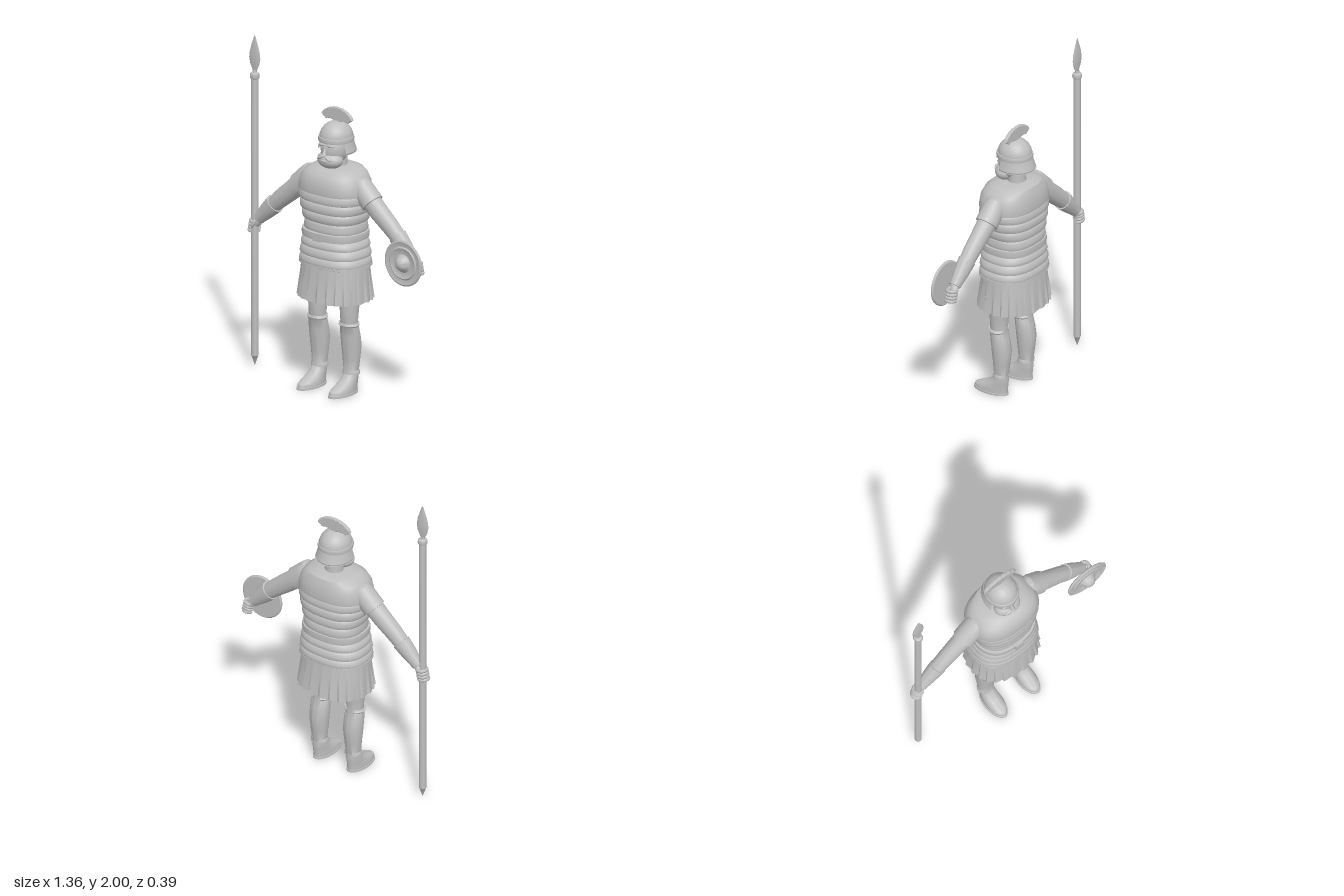
import * as THREE from 'three';
import { toCreasedNormals } from 'three/addons/utils/BufferGeometryUtils.js';

const grey = new THREE.MeshStandardMaterial({ color: 0xbfbfbf, side: THREE.DoubleSide });
grey.name = 'plain grey';

function add(parent, name, geometry, x = 0, y = 0, z = 0) {
  const m = new THREE.Mesh(geometry, grey);
  m.name = name;
  m.position.set(x, y, z);
  parent.add(m);
  return m;
}

// Skin over horizontal rings [y, rx, rz, cz, cx]; p is the squareness, mod a radius rule
function loft(rings, { p = 2, seg = 32, from = 0, to = Math.PI * 2, mod = () => 0, crease = 0.6 } = {}) {
  const rows = [...rings].sort((a, b) => a[0] - b[0]);
  const pos = [], idx = [];
  const pw = v => Math.sign(v) * Math.pow(Math.abs(v), 2 / p);
  rows.forEach(([y, rx, rz, cz = 0, cx = 0], j) => {
    for (let i = 0; i <= seg; i++) {
      const a = from + (to - from) * i / seg;
      const m = mod(i, j / (rows.length - 1));
      pos.push(cx + (rx + m) * pw(Math.cos(a)), y, cz + (rz + m) * pw(Math.sin(a)));
      if (j < rows.length - 1 && i < seg) {
        const k = j * (seg + 1) + i, u = k + seg + 1;
        idx.push(k, u, k + 1, u, u + 1, k + 1);
      }
    }
  });
  const g = new THREE.BufferGeometry();
  g.setAttribute('position', new THREE.Float32BufferAttribute(pos, 3));
  g.setIndex(idx);
  return toCreasedNormals(g, crease);
}

const lathe = (pts, seg = 40) =>
  toCreasedNormals(new THREE.LatheGeometry(pts.map(q => new THREE.Vector2(...q)), seg), 0.6);

function ball(parent, name, x, y, z, rx, ry, rz) {
  const m = add(parent, name, new THREE.SphereGeometry(1, 28, 18), x, y, z);
  m.scale.set(rx, ry, rz);
  return m;
}

function buildTorso(body) {
  const base = [[1.27, 0.212, 0.155, 0], [1.2, 0.218, 0.16, 0], [1.13, 0.208, 0.16, 0], [1.06, 0.193, 0.154, 0],
    [1.0, 0.178, 0.146, -0.005], [0.945, 0.18, 0.148, -0.003], [0.9, 0.192, 0.155, 0], [0.84, 0.203, 0.16, 0], [0.76, 0.208, 0.163, 0]];
  const at = y => {
    let i = 0;
    while (i < base.length - 2 && base[i + 1][0] > y) i++;
    const t = (base[i][0] - y) / (base[i][0] - base[i + 1][0]);
    return base[i].map((v, k) => THREE.MathUtils.lerp(v, base[i + 1][k], t));
  };
  // Breastplate with sloping shoulders
  add(body, 'breastplate', loft([[1.35, 0, 0, -0.025], [1.347, 0.1, 0.09, -0.025], [1.335, 0.152, 0.125, -0.015],
    [1.31, 0.19, 0.146, -0.004], [1.27, 0.213, 0.16], [1.215, 0.223, 0.167], [1.2, 0.222, 0.165], [1.195, 0.2, 0.15]],
    { p: 2.5, seg: 48 }));
  // Overlapping armour bands
  const edges = [1.205, 1.145, 1.085, 1.025, 0.965, 0.92, 0.87, 0.815, 0.765];
  for (let b = 0; b < edges.length - 1; b++) {
    const rings = [0, 0.1, 0.3, 0.55, 0.8, 0.93, 1].map((t, k) => {
      const [y, rx, rz, cz] = at(edges[b] + (edges[b + 1] - edges[b]) * t);
      const o = [-0.007, -0.001, 0.004, 0.007, 0.008, 0.005, -0.006][k];
      return [y, rx + o, rz + o, cz];
    });
    add(body, 'armourBand', loft(rings, { p: 2.5, seg: 48 }));
  }
  add(body, 'belt', loft([[0.968, 0.18, 0.148], [0.966, 0.194, 0.162], [0.945, 0.197, 0.164], [0.924, 0.194, 0.162],
    [0.922, 0.18, 0.148]], { p: 2.5, seg: 48 }));
  add(body, 'buckle', new THREE.BoxGeometry(0.055, 0.048, 0.016), 0, 0.945, 0.164);
  add(body, 'hem', loft([[0.775, 0.205, 0.16], [0.772, 0.217, 0.17], [0.76, 0.218, 0.171], [0.755, 0.203, 0.16]],
    { p: 2.5, seg: 48 }));
  // Pleated skirt with a stepped edge on every pleat
  const steps = 5;
  add(body, 'skirt', loft([[0.765, 0.205, 0.163], [0.69, 0.21, 0.17], [0.62, 0.216, 0.178], [0.555, 0.222, 0.184]],
    { p: 2.3, seg: 24 * steps, crease: 0.5, mod: (i, t) => (1 - t) * (0.012 * (i % steps) / (steps - 1) - 0.003) }));
}

function buildHead(body) {
  add(body, 'neck', loft([[1.3, 0.062, 0.058, -0.022], [1.36, 0.055, 0.05, -0.022], [1.48, 0.055, 0.05, -0.022]]));
  ball(body, 'head', 0, 1.45, 0.01, 0.077, 0.1, 0.085);
  ball(body, 'beard', 0, 1.388, 0.048, 0.083, 0.052, 0.063);
  ball(body, 'lip', 0, 1.392, 0.106, 0.022, 0.007, 0.009);
  const nose = add(body, 'nose', new THREE.ConeGeometry(0.016, 0.055, 12), 0, 1.452, 0.096);
  nose.rotation.x = -0.25;
  for (const s of [-1, 1]) {
    const m = ball(body, 'moustache', s * 0.025, 1.41, 0.098, 0.029, 0.009, 0.014);
    m.rotation.z = -s * 0.45;
    ball(body, 'brow', s * 0.032, 1.482, 0.083, 0.027, 0.009, 0.012);
    ball(body, 'eye', s * 0.031, 1.465, 0.081, 0.012, 0.006, 0.008);
    ball(body, 'ear', s * 0.08, 1.45, -0.005, 0.012, 0.024, 0.016);
  }
  // Helmet dome with its brow band
  const dome = [[1.5, 0.09, 0.098, -0.005]];
  for (let i = 0; i <= 10; i++) {
    const a = i / 10 * Math.PI / 2;
    dome.push([1.515 + 0.095 * Math.sin(a), 0.095 * Math.cos(a), 0.103 * Math.cos(a), -0.006]);
  }
  add(body, 'helmetDome', loft(dome, { seg: 40 }));
  add(body, 'helmetBand', loft([[1.495, 0.085, 0.09, -0.005], [1.496, 0.1, 0.107, -0.005], [1.508, 0.102, 0.11, -0.005],
    [1.522, 0.099, 0.107, -0.005], [1.524, 0.09, 0.1, -0.005]], { seg: 40 }));
  // Flared guard round the sides and nape
  add(body, 'neckGuard', loft([[1.505, 0.095, 0.105, -0.006], [1.47, 0.102, 0.114, -0.006], [1.438, 0.111, 0.125, -0.006],
    [1.43, 0.114, 0.129, -0.006], [1.43, 0.108, 0.122, -0.006]], { from: Math.PI - 0.32, to: Math.PI * 2 + 0.32 }));
  // Crest running from side to side, with a scalloped top
  const top = [[-0.108, 1.632], [-0.082, 1.657], [-0.05, 1.673], [-0.017, 1.68], [0.017, 1.68], [0.05, 1.673], [0.082, 1.657], [0.108, 1.632]];
  const fan = new THREE.Shape();
  fan.moveTo(-0.082, 1.612);
  fan.lineTo(...top[0]);
  for (let i = 1; i < top.length; i++) {
    const [x0, y0] = top[i - 1], [x1, y1] = top[i];
    const mx = (x0 + x1) / 2, my = (y0 + y1) / 2;
    fan.quadraticCurveTo(mx * 1.06, my + 0.008, x1, y1);
  }
  fan.lineTo(0.082, 1.612);
  fan.quadraticCurveTo(0.05, 1.625, 0, 1.605);
  fan.quadraticCurveTo(-0.05, 1.625, -0.082, 1.612);
  add(body, 'crest', new THREE.ExtrudeGeometry(fan, { depth: 0.01, bevelSize: 0.005, bevelThickness: 0.006, bevelSegments: 3, curveSegments: 5 }), 0, 0, -0.022);
}

// One side of the limbs; the other side is mirrored
function buildLimbs(body, s) {
  const side = new THREE.Group();
  side.name = s > 0 ? 'leftLimbs' : 'rightLimbs';
  side.scale.x = s;
  body.add(side);

  const arm = new THREE.Group();
  arm.name = 'arm';
  arm.position.set(0.185, 1.255, -0.005);
  arm.rotation.z = 0.793;
  side.add(arm);
  add(arm, 'sleeve', loft([[0.05, 0, 0], [0.04, 0.038, 0.038], [0.01, 0.064, 0.06], [-0.04, 0.068, 0.066],
    [-0.1, 0.069, 0.066], [-0.125, 0.07, 0.066], [-0.128, 0.05, 0.05]]));
  add(arm, 'bareArm', loft([[-0.1, 0.06, 0.056], [-0.2, 0.058, 0.052, 0, 0.006], [-0.3, 0.054, 0.048, 0, 0.016],
    [-0.4, 0.046, 0.044, 0, 0.02], [-0.54, 0.03, 0.028, 0, 0.021]]));
  add(arm, 'bracer', loft([[-0.368, 0.046, 0.042, 0, 0.02], [-0.37, 0.058, 0.049, 0, 0.02], [-0.388, 0.056, 0.048, 0, 0.02],
    [-0.45, 0.049, 0.043, 0, 0.021], [-0.52, 0.037, 0.034, 0, 0.021], [-0.535, 0.036, 0.033, 0, 0.021], [-0.537, 0.026, 0.024, 0, 0.021]]));
  const palm = ball(side, 'palm', 0.593, 0.872, -0.008, 0.022, 0.044, 0.026);
  palm.rotation.z = 0.5;
  // Fingers curled round a grip
  for (let i = 0; i < 4; i++) {
    const f = add(side, 'finger', new THREE.TorusGeometry(0.028, 0.0105, 8, 20, Math.PI * 1.45), 0.607 + i * 0.004, 0.875 - i * 0.019, -0.003);
    f.rotation.set(Math.PI / 2, 0.12, Math.PI * 1.1);
  }
  const thumb = ball(side, 'thumb', 0.603, 0.862, 0.022, 0.011, 0.03, 0.011);
  thumb.rotation.z = 0.5;

  const leg = new THREE.Group();
  leg.name = 'leg';
  leg.position.x = 0.119;
  side.add(leg);
  add(leg, 'bareLeg', loft([[0.82, 0.07, 0.078, 0.005], [0.6, 0.062, 0.066, 0.012], [0.5, 0.055, 0.057, 0.018],
    [0.42, 0.05, 0.05, 0.02], [0.36, 0.049, 0.05, 0.006], [0.28, 0.049, 0.054, -0.003], [0.2, 0.043, 0.046, -0.002], [0.09, 0.038, 0.038, 0.002]]));
  // Greave, open down the calf
  add(leg, 'greave', loft([[0.424, 0.054, 0.046, 0.022], [0.424, 0.065, 0.056, 0.021], [0.41, 0.064, 0.055, 0.02], [0.402, 0.058, 0.051, 0.019],
    [0.34, 0.06, 0.056, 0.008], [0.28, 0.059, 0.058, 0], [0.2, 0.052, 0.049, 0], [0.135, 0.046, 0.043, 0.002],
    [0.125, 0.052, 0.047, 0.002], [0.112, 0.052, 0.047, 0.002], [0.11, 0.04, 0.038, 0.002]], { from: -1.15, to: Math.PI + 1.15 }));
  add(leg, 'shoe', loft([[0.012, 0.053, 0.111, 0.074], [0.03, 0.053, 0.109, 0.071], [0.048, 0.049, 0.092, 0.053],
    [0.07, 0.046, 0.069, 0.028], [0.09, 0.044, 0.054, 0.012], [0.125, 0.041, 0.041, 0.002]]));
  add(leg, 'sole', loft([[0, 0, 0, 0.075], [0, 0.057, 0.116, 0.075], [0.012, 0.057, 0.116, 0.075], [0.013, 0.05, 0.108, 0.075]]));
}

function buildSpear(root) {
  const spear = new THREE.Group();
  spear.name = 'spear';
  spear.position.set(-0.635, 0, 0);
  root.add(spear);
  add(spear, 'shaft', lathe([[0, 0], [0.019, 0.06], [0.021, 0.062], [0.021, 1.74]], 20));
  add(spear, 'collar', lathe([[0.019, 1.735], [0.026, 1.74], [0.029, 1.753], [0.026, 1.768], [0.014, 1.776], [0.012, 1.79]], 24));
  const blade = add(spear, 'blade', lathe([[0.01, 1.77], [0.018, 1.79], [0.034, 1.825], [0.041, 1.86], [0.036, 1.9],
    [0.022, 1.945], [0.008, 1.985], [0, 2]], 24));
  blade.scale.z = 0.25;
}

export function createModel() {
  const root = new THREE.Group();
  root.name = 'spearman';
  const body = new THREE.Group();
  body.name = 'body';
  body.position.x = -0.025;
  root.add(body);
  buildTorso(body);
  buildHead(body);
  for (const s of [1, -1]) buildLimbs(body, s);
  buildSpear(root);
  // Round shield with a raised rim, inner ridge and boss
  const shield = add(root, 'shield', lathe([[0, 0], [0.13, 0], [0.137, 0.006], [0.137, 0.013], [0.128, 0.018], [0.116, 0.014],
    [0.1, 0.014], [0.092, 0.02], [0.084, 0.015], [0.055, 0.015], [0.045, 0.022], [0.038, 0.04], [0.023, 0.055], [0, 0.06]], 48), 0.545, 0.886, 0.06);
  shield.rotation.x = Math.PI / 2;
  return root;
}
